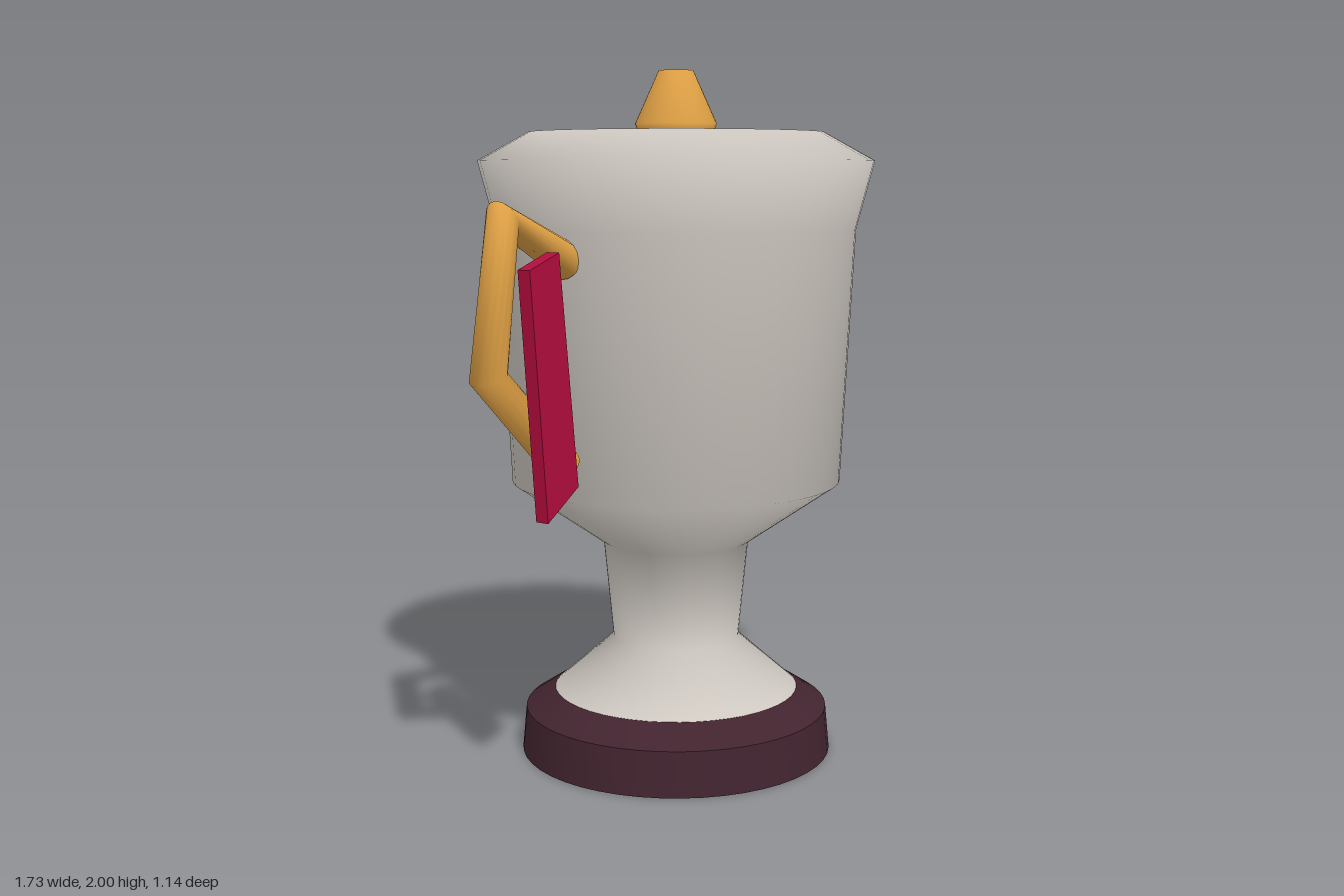
import * as THREE from 'three';
import { toCreasedNormals } from 'three/addons/utils/BufferGeometryUtils.js';

const material = (name, color, side = THREE.FrontSide) => {
  const m = new THREE.MeshStandardMaterial({ color, side });
  m.name = name;
  return m;
};

// Polyline whose rings fall exactly on the corners, so a tube bends sharply there
class CornerPath extends THREE.Curve {
  constructor(points) {
    super();
    this.points = points;
  }
  getPointAt(u, target = new THREE.Vector3()) {
    return target.copy(this.points[Math.round(u * (this.points.length - 1))]);
  }
  getTangentAt(u, target = new THREE.Vector3()) {
    const p = this.points, n = p.length - 1, i = Math.round(u * n);
    target.set(0, 0, 0);
    if (i > 0) target.add(p[i].clone().sub(p[i - 1]).normalize());
    if (i < n) target.add(p[i + 1].clone().sub(p[i]).normalize());
    return target.normalize();
  }
}

const turned = (profile, segments) =>
  new THREE.LatheGeometry(profile.map(([r, y]) => new THREE.Vector2(r, y)), segments);

export function createModel() {
  const group = new THREE.Group();
  group.name = 'trophy';
  const silver = material('silver', 0xcfc9c2);
  const gold = material('gold', 0xdd9f44, THREE.DoubleSide);
  const ribbonRed = material('ribbonRed', 0xb00d3b);
  const darkWood = material('darkWood', 0x42242f);

  const add = (name, geometry, mat) => {
    const mesh = new THREE.Mesh(geometry, mat);
    mesh.name = name;
    group.add(mesh);
  };

  // Plinth with a bevelled upper edge
  add('plinth', toCreasedNormals(
    turned([[0, 0], [0.462, 0], [0.45, 0.13], [0.365, 0.185], [0, 0.185]], 48), 0.5), darkWood);

  // Foot, stem, bowl and lid in one smooth profile
  add('cup', turned([
    [0.365, 0.183], [0.187, 0.34], [0.215, 0.63], [0.483, 0.817],
    [0.52, 1.55], [0.571, 1.745], [0.425, 1.826], [0, 1.826],
  ], 48), silver);

  // Lid knob
  add('knob', turned([[0.108, 1.825], [0.118, 1.85], [0.05, 2], [0, 2]], 32), gold);

  // Angular handles, each with a ribbon hanging in front
  for (const [side, s] of [['left', 1], ['right', -1]]) {
    const path = [[0.5, 1.475], [0.755, 1.595], [0.818, 1.195], [0.525, 0.927]]
      .map(([x, y]) => new THREE.Vector3(s * x, y, 0));
    add(side + 'Handle', new THREE.TubeGeometry(new CornerPath(path), 3, 0.051, 16), gold);

    const outline = [[0.675, 1.51], [0.79, 1.47], [0.73, 0.817], [0.605, 0.895]]
      .map(([x, y]) => new THREE.Vector2(s * x, y));
    const ribbon = new THREE.ExtrudeGeometry(new THREE.Shape(outline), { depth: 0.04, bevelEnabled: false });
    ribbon.translate(0, 0, 0.078);
    add(side + 'Ribbon', ribbon, ribbonRed);
  }
  return group;
}
